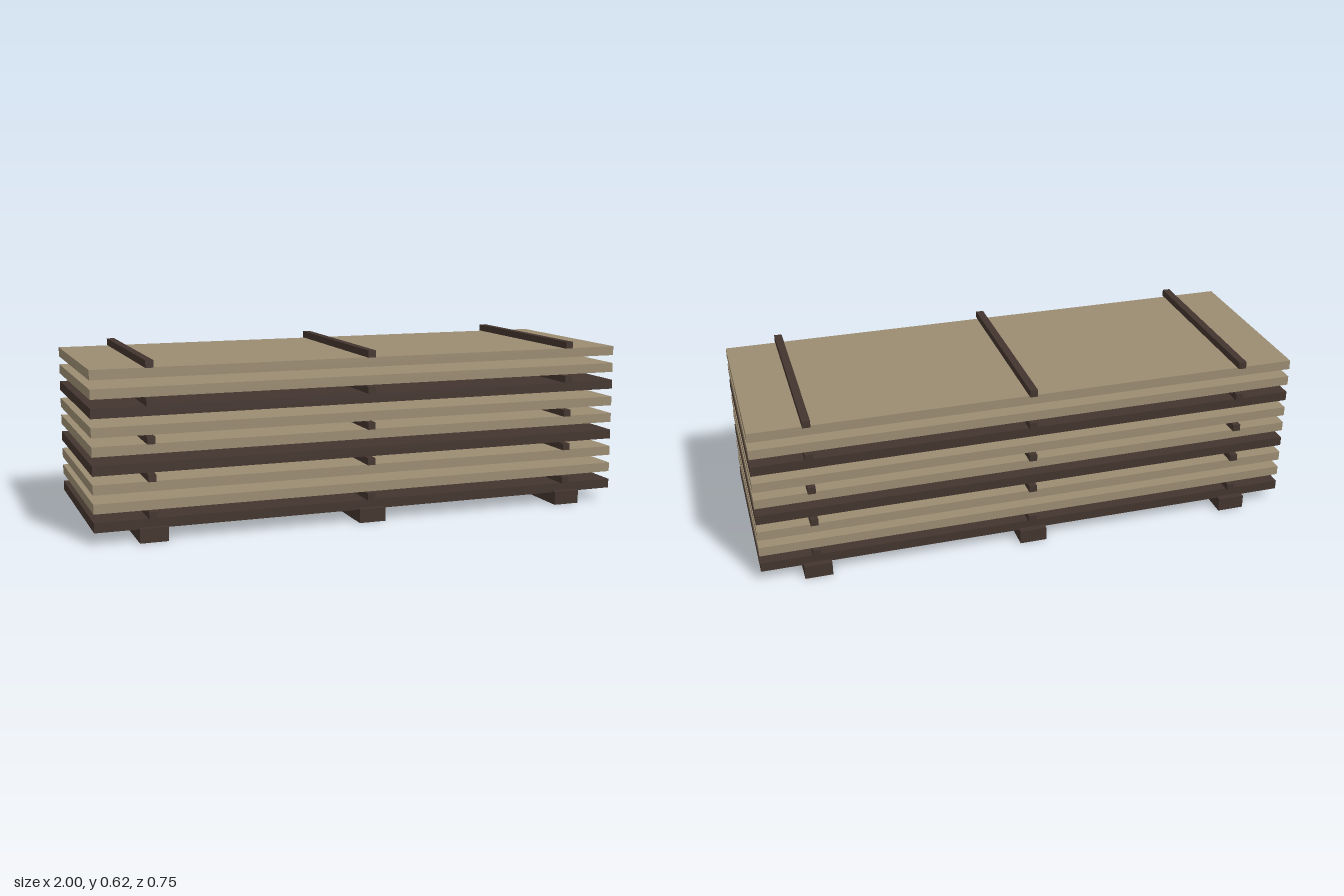
import * as THREE from 'three';

export function createModel() {
  const paleWood = new THREE.MeshStandardMaterial({ name: 'paleWood', color: 0x9b8c72 });
  const darkWood = new THREE.MeshStandardMaterial({ name: 'darkWood', color: 0x43342d });
  const model = new THREE.Group();
  model.name = 'boardStack';

  // Box placed by its bottom height
  const add = (name, material, w, h, d, x, bottom) => {
    const mesh = new THREE.Mesh(new THREE.BoxGeometry(w, h, d), material);
    mesh.name = name;
    mesh.position.set(x, bottom + h / 2, 0);
    model.add(mesh);
  };

  const pitch = 0.065, base = 0.0435, thickness = 0.0345;

  // Nine boards, every third one dark
  for (let i = 0; i < 9; i++) {
    add(`board${i + 1}`, i % 3 === 0 ? darkWood : paleWood, 2, thickness, 0.698, 0, base + i * pitch);
  }

  // Skids below, and spacer battens above every second board
  for (const x of [-0.8, 0, 0.8]) {
    add('skid', darkWood, 0.1, 0.05, 0.748, x, 0);
    for (let i = 0; i < 9; i += 2) {
      add('batten', darkWood, 0.028, 0.0255, 0.724, x, base + thickness + i * pitch);
    }
  }
  return model;
}
